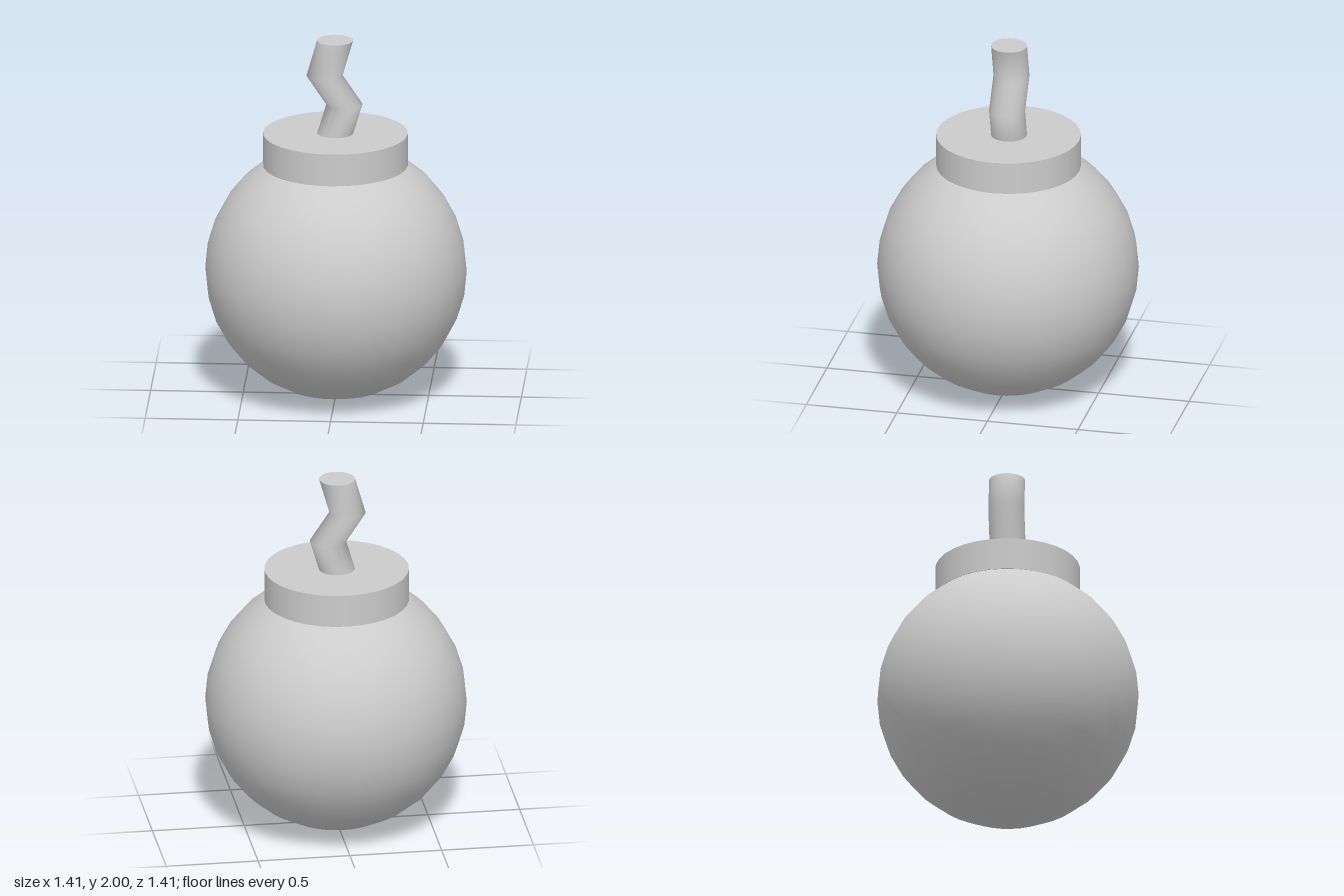
import * as THREE from 'three';
import { toCreasedNormals } from 'three/addons/utils/BufferGeometryUtils.js';

const material = new THREE.MeshStandardMaterial({ color: 0xcccccc });

function addPart(group, name, geometry, x, y, z) {
  const mesh = new THREE.Mesh(geometry, material);
  mesh.name = name;
  mesh.position.set(x, y, z);
  group.add(mesh);
}

// Zigzag fuse: level rings of a cylinder slid sideways at each bend
function fuseGeometry() {
  const bends = [[1.45, -0.012], [1.64, 0.045], [1.8, -0.062], [2, -0.005]]; // [height, x]
  const geometry = new THREE.CylinderGeometry(0.097, 0.097, 3, 32, 3);
  const position = geometry.attributes.position;
  for (let i = 0; i < position.count; i++) {
    const [y, x] = bends[Math.round(position.getY(i) + 1.5)];
    position.setX(i, position.getX(i) + x);
    position.setY(i, y);
  }
  return toCreasedNormals(geometry, 1.1);
}

export function createModel() {
  const group = new THREE.Group();
  group.name = 'bomb';

  // Round body
  addPart(group, 'body', new THREE.SphereGeometry(0.705, 32, 16), 0, 0.71, 0);

  // Collar on top, sunk into the body
  addPart(group, 'collar', new THREE.CylinderGeometry(0.39, 0.39, 0.18, 32), -0.003, 1.387, -0.002);

  addPart(group, 'fuse', fuseGeometry(), 0, 0, -0.005);
  return group;
}
